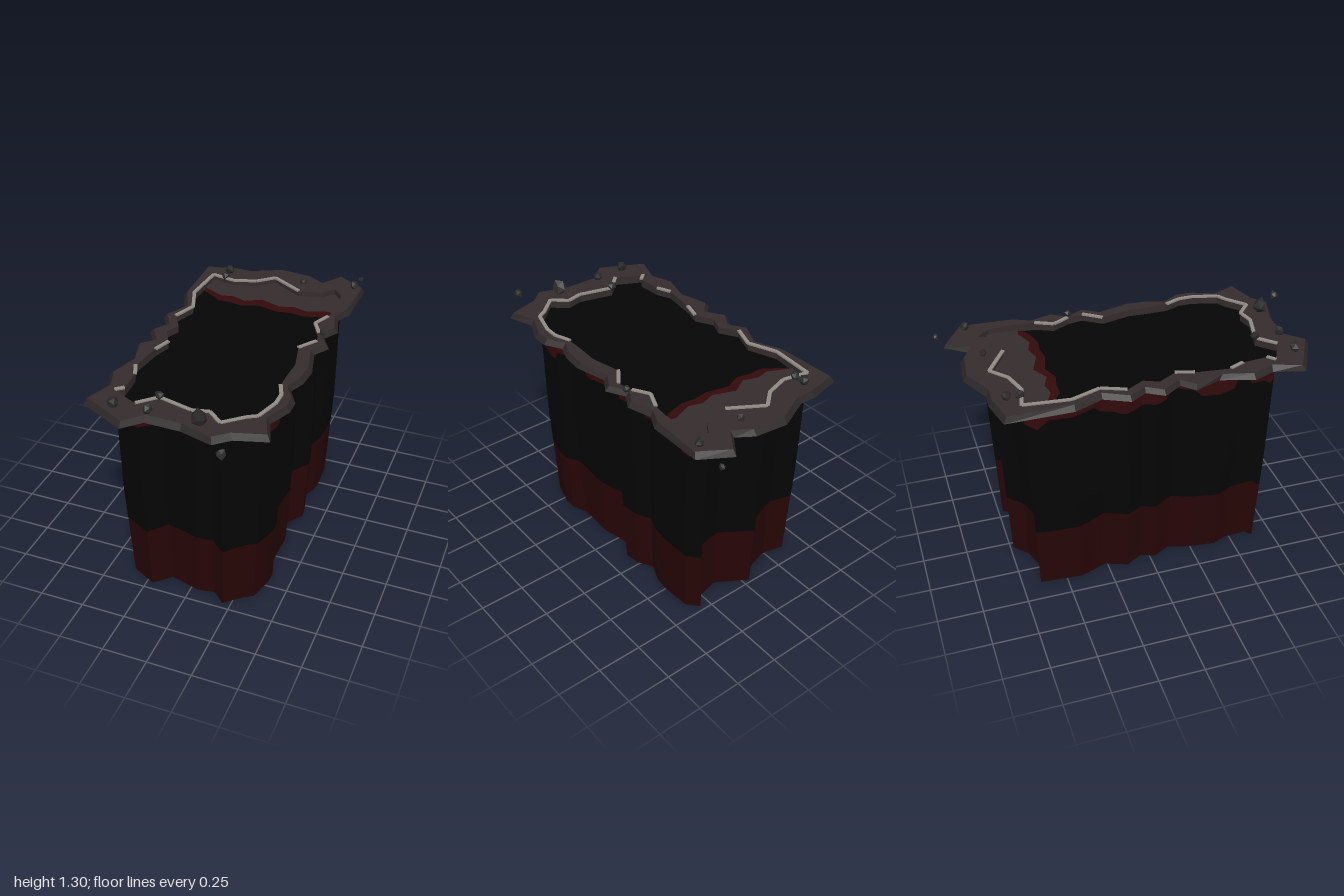
import * as THREE from 'three';

const mat = (name, hex) => {
  const m = new THREE.MeshStandardMaterial({ color: hex });
  m.name = name;
  m.flatShading = true;
  return m;
};

// Seeded random numbers
function seeded(seed) {
  let s = seed;
  return () => (s = (s * 16807) % 2147483647) / 2147483647;
}

// Jagged outlines as x, z pairs, running back, right side, front, left side
const OUTER = [
  -.485, -.80, -.31, -.84, -.22, -.835, -.04, -.92, .14, -.90, .23, -.84, .32, -.96, .485, -.86,
  .485, -.55, .44, -.465, .48, -.33, .43, -.245, .485, -.145, .43, -.06, .475, .12, .465, .24,
  .43, .325, .485, .42, .485, .51, .43, .635, .48, .78, .31, .83, .23, .90, .05, .85,
  -.14, .845, -.23, .935, -.485, .805, -.44, .635, -.485, .52, -.43, .34, -.485, .195, -.42, .13,
  -.485, .03, -.43, -.06, -.485, -.15, -.42, -.285, -.485, -.44];
const INNER = [
  -.40, -.69, -.26, -.66, -.13, -.70, -.04, -.78, .14, -.67, .28, -.70, .33, -.77, .39, -.70,
  .40, -.54, .39, -.44, .345, -.34, .395, -.25, .41, -.16, .34, -.06, .38, .11, .375, .22,
  .375, .33, .41, .42, .41, .50, .37, .64, .32, .67, .22, .76, .14, .69, .05, .71,
  -.14, .66, -.23, .75, -.38, .675, -.34, .64, -.35, .50, -.385, .42, -.36, .23, -.33, .13,
  -.385, .03, -.35, -.05, -.41, -.15, -.36, -.28, -.42, -.44];

const pairs = (a) => Array.from({ length: a.length / 2 }, (_, i) => [a[2 * i], a[2 * i + 1]]);

// Closed strip of quads between two rings of [x, y, z]
function strip(a, b) {
  const p = [];
  a.forEach((_, i) => {
    const j = (i + 1) % a.length;
    p.push(...a[i], ...a[j], ...b[j], ...a[i], ...b[j], ...b[i]);
  });
  const g = new THREE.BufferGeometry();
  g.setAttribute('position', new THREE.Float32BufferAttribute(p, 3));
  g.computeVertexNormals();
  return g;
}

// Flat sheet facing up or down
function sheet(points, y, up = true) {
  const s = up ? -1 : 1;
  const shape = new THREE.Shape(points.map(([x, z]) => new THREE.Vector2(x, s * z)));
  return new THREE.ShapeGeometry(shape).rotateX(s * Math.PI / 2).translate(0, y, 0);
}

export function createModel() {
  const model = new THREE.Group();
  model.name = 'jaggedPit';
  const earth = mat('earth', 0x352c2d);
  const edge = mat('dark earth', 0x2d2727);
  const black = mat('black void', 0x050505);
  const red = mat('dark red', 0x270506);
  const bandRed = mat('band red', 0x330a0c);
  const pale = mat('pale crack', 0x908a84);
  const stone = mat('stone', 0x2b2929);

  const add = (name, geometry, material, parent = model) => {
    const m = new THREE.Mesh(geometry, material);
    m.name = name;
    parent.add(m);
    return m;
  };

  const outer = pairs(OUTER), inner = pairs(INNER);

  // Shaft walls: outline subdivided, tapering down, in coloured layers
  const rand = seeded(17);
  const fine = inner.flatMap(([x, z], i) => {
    const [u, v] = inner[(i + 1) % inner.length];
    return [0, 1, 2, 3].map((k) => [x + (u - x) * k / 4, z + (v - z) * k / 4]);
  });
  const ring = (heightAt) => fine.map(([x, z], i) => {
    const y = heightAt(i);
    return [x * (1 - 0.07 * Math.max(0, 0.57 - y) / 0.57), y, z * (1 - 0.06 * (1.2 - y) / 1.2)];
  });
  // Drips keep one length over a few points, then step
  const lengths = Array.from({ length: Math.ceil(fine.length / 3) },
    () => (rand() < 0.5 ? 1.105 + rand() * 0.015 : 1.058 + rand() * 0.022));
  const rows = [
    ring(() => 1.19), ring(() => 1.162), ring((i) => lengths[Math.floor(i / 3)]), ring(() => 0.57),
    ring((i) => 0.385 + 0.007 * Math.sin(i * 0.42)), ring(() => 0)];
  const shaft = new THREE.Group();
  shaft.name = 'shaft';
  model.add(shaft);
  [['earthLayer', earth], ['drippingLayer', bandRed], ['upperWall', black], ['lowerWall', black], ['deepWall', red]]
    .forEach(([name, m], i) => add(name, strip(rows[i], rows[i + 1]), m, shaft));
  add('shaftBottom', sheet(rows[5].map(([x, , z]) => [x, z]), 0, false), red, shaft);

  // Rim slab: inner lip, top, bevelled edge and underside
  const rim = new THREE.Group();
  rim.name = 'rim';
  model.add(rim);
  const topY = (z) => 1.209 + 0.009 * Math.min(1, Math.abs(z) / 0.7);
  const innerLow = inner.map(([x, z]) => [x, 1.165, z]);
  const innerTop = inner.map(([x, z]) => [x, topY(z), z]);
  const outerTop = outer.map(([x, z], i) => {
    const dx = inner[i][0] - x, dz = inner[i][1] - z, d = 0.022 / Math.hypot(dx, dz);
    return [x + dx * d, topY(z), z + dz * d];
  });
  const outerLow = outer.map(([x, z]) => [x, 1.185, z]);
  const innerUnder = inner.map(([x, z]) => [x, 1.185, z]);
  add('rimLip', strip(innerLow, innerTop), earth, rim);
  add('rimTop', strip(innerTop, outerTop), earth, rim);
  add('rimEdge', strip(outerTop, outerLow), edge, rim);
  add('rimUnderside', strip(outerLow, innerUnder), edge, rim);

  // Dark opening with a ledge at the back
  add('voidSurface', sheet(inner, 1.17), black);
  const ledgeEdge = [[.39, -.54], [.34, -.545], [.24, -.505], [.16, -.53], [.08, -.505], [-.04, -.55],
    [-.13, -.50], [-.21, -.53], [-.28, -.515], [-.405, -.575]];
  const back = inner.slice(0, 8);
  add('ledge', sheet([...back, ...ledgeEdge], 1.186), earth);
  const stain = ledgeEdge.map(([x, z], i) => [x, z + (i % 9 ? 0.048 + 0.014 * (i % 2) : 0.025)]);
  add('ledgeStain', sheet([...back, ...stain], 1.178), bandRed);

  // Pale broken lines along the inner edge
  const gaps = [4, 5, 6, 7, 8, 11, 13, 14, 15, 25, 27, 29, 31, 32, 33];
  innerTop.forEach((p, i) => {
    if (gaps.includes(i)) return;
    const a = new THREE.Vector3(...p), b = new THREE.Vector3(...innerTop[(i + 1) % inner.length]);
    const line = add('paleCrack', new THREE.BoxGeometry(0.02, 0.0095, a.distanceTo(b)), pale, rim);
    line.position.copy(a).add(b).multiplyScalar(0.5);
    line.position.y += 0.002;
    line.lookAt(b.x, b.y + 0.002, b.z);
  });

  // Loose stones: x, y, z, radius
  [[-.32, 1.238, -.75, .03], [-.32, 1.228, -.68, .026], [.135, 1.225, -.78, .023], [.43, 1.238, -.82, .026],
    [.43, 1.197, -.985, .02], [.42, 1.225, -.24, .024], [-.14, 1.23, .66, .028], [-.32, 1.24, .81, .032],
    [-.14, 1.238, .80, .028], [.13, 1.255, .80, .045], [.31, 1.202, .97, .03]
  ].forEach(([x, y, z, r], n) => {
    const g = new THREE.IcosahedronGeometry(r, 0);
    const p = g.attributes.position;
    for (let i = 0; i < p.count; i++) {
      // Same push for corners that share a place
      const k = 1 + 0.16 * Math.sin(p.getX(i) / r * 5 + p.getY(i) / r * 3 + p.getZ(i) / r * 7 + n);
      p.setXYZ(i, p.getX(i) * k * 0.9, p.getY(i) * k, p.getZ(i) * k * 0.9);
    }
    g.rotateY(n * 1.3);
    g.computeVertexNormals();
    add('looseStone', g, stone).position.set(x, y, z);
  });

  return model;
}
